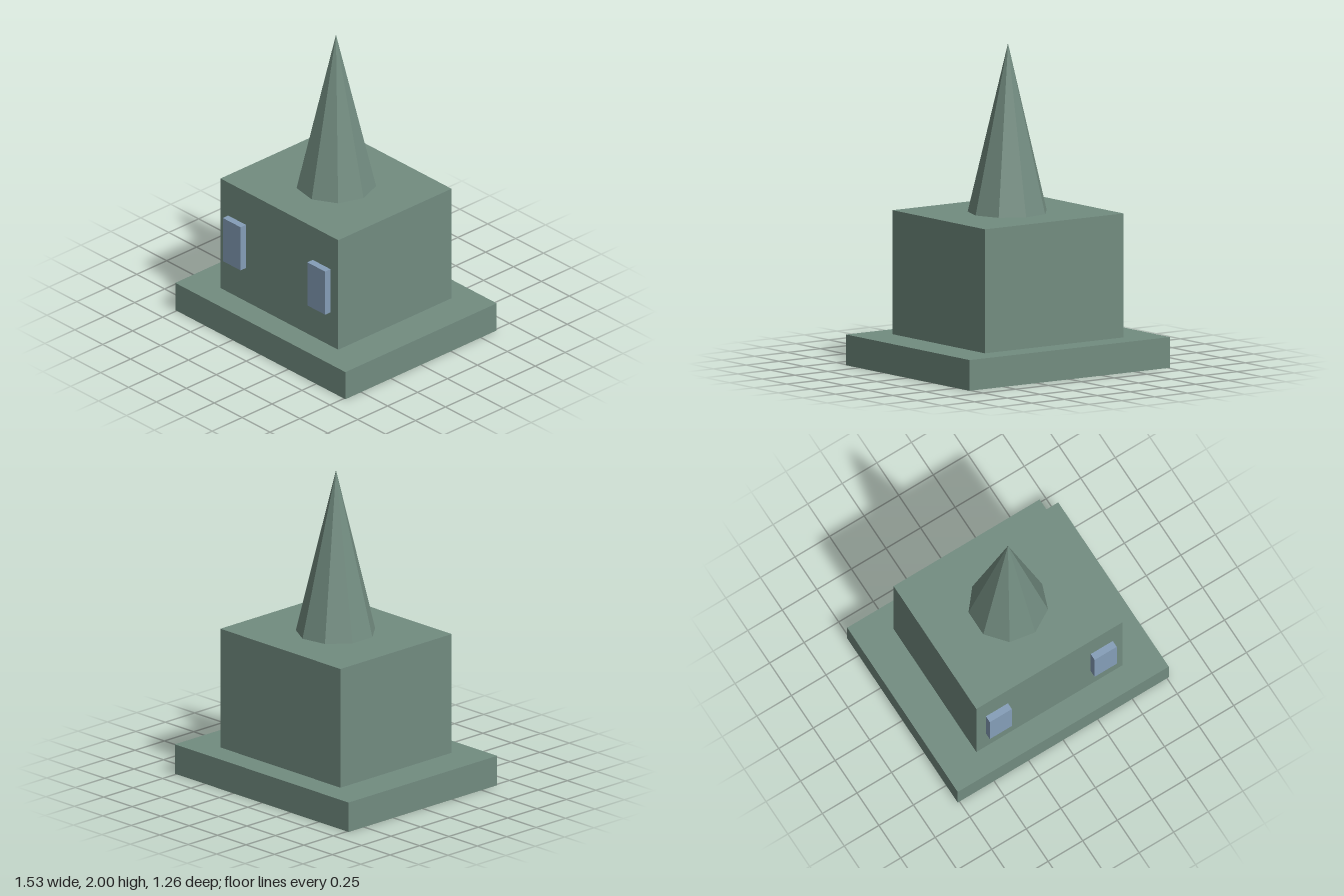
import * as THREE from 'three';

export function createModel() {
  const model = new THREE.Group();
  model.name = 'towerHouse';
  const stone = new THREE.MeshStandardMaterial({ color: 0x728c80 });
  stone.name = 'grey green stone';
  const glass = new THREE.MeshStandardMaterial({ color: 0x859eb8 });
  glass.name = 'blue window';

  const addBox = (name, material, [w, h, d], [x, y, z]) => {
    const mesh = new THREE.Mesh(new THREE.BoxGeometry(w, h, d), material);
    mesh.name = name;
    mesh.position.set(x, y + h / 2, z);
    model.add(mesh);
  };

  // Plinth and main block
  addBox('plinth', stone, [1.526, 0.19, 1.264], [0, 0, 0]);
  addBox('body', stone, [1.056, 0.767, 0.946], [0, 0.19, 0]);

  // Protruding front windows
  for (const side of [-1, 1]) {
    addBox(side > 0 ? 'leftWindow' : 'rightWindow', glass,
      [0.16, 0.302, 0.045], [side * 0.379, 0.424, 0.4955]);
  }

  // Nine-sided spire with one corner towards +x, faceted by unshared vertices
  const spireGeometry = new THREE.ConeGeometry(0.247, 1.043, 9, 1).toNonIndexed();
  spireGeometry.rotateY(Math.PI / 2);
  spireGeometry.computeVertexNormals();
  const spire = new THREE.Mesh(spireGeometry, stone);
  spire.name = 'spire';
  spire.position.y = 0.957 + 1.043 / 2;
  model.add(spire);

  return model;
}
